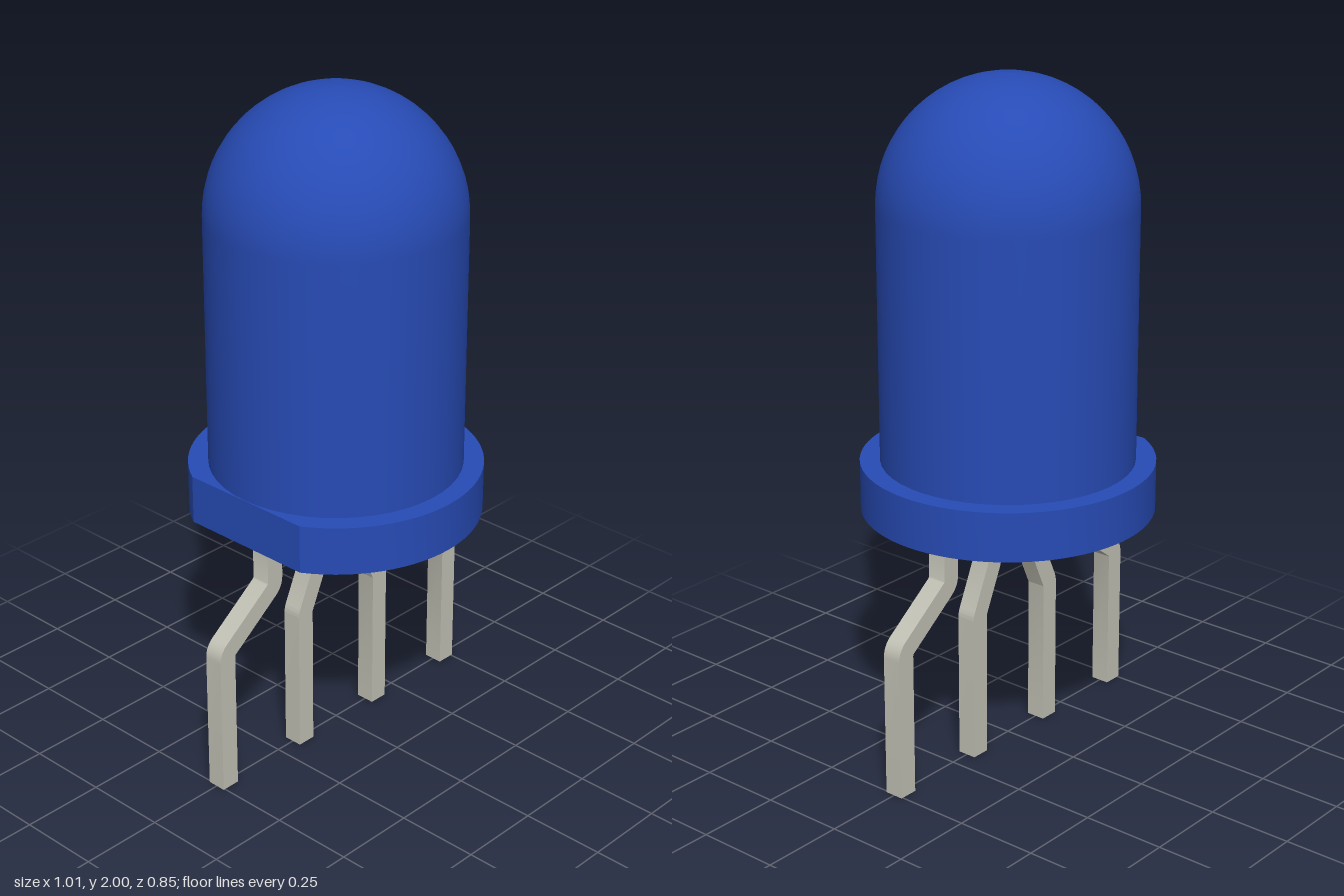
import * as THREE from 'three';
import { toCreasedNormals } from 'three/addons/utils/BufferGeometryUtils.js';

const HALF = 0.029; // half thickness of a lead

// Replaces the corner at b of the path a-b-c by a short arc of radius r
function roundCorner(a, b, c, r, steps = 5) {
  const d1 = a.clone().sub(b).normalize();
  const d2 = c.clone().sub(b).normalize();
  const turn = Math.PI - Math.acos(d1.dot(d2));
  const trim = r * Math.tan(turn / 2);
  const curve = new THREE.QuadraticBezierCurve(
    b.clone().addScaledVector(d1, trim), b, b.clone().addScaledVector(d2, trim));
  return curve.getPoints(steps);
}

// Square bent lead: a centre line thickened in the plane, then extruded in depth
function leadGeometry(topX, footX) {
  const p = [[topX, 0.76], [topX, 0.59], [footX, 0.445], [footX, 0]]
    .map(([x, y]) => new THREE.Vector2(x, y));
  const line = [p[0], ...roundCorner(p[0], p[1], p[2], 0.04),
    ...roundCorner(p[1], p[2], p[3], 0.04), p[3]];
  const left = [], right = [];
  line.forEach((q, i) => {
    const before = line[Math.max(i - 1, 0)];
    const after = line[Math.min(i + 1, line.length - 1)];
    const dir = after.clone().sub(before).normalize();
    if (i < 2 || i > line.length - 3) dir.set(0, -1);
    const n = new THREE.Vector2(-dir.y, dir.x).multiplyScalar(HALF);
    left.push(q.clone().add(n));
    right.unshift(q.clone().sub(n));
  });
  const geo = new THREE.ExtrudeGeometry(new THREE.Shape([...left, ...right]),
    { depth: 2 * HALF, bevelEnabled: false });
  geo.translate(0, 0, -HALF);
  return toCreasedNormals(geo, 0.5);
}

export function createModel() {
  const model = new THREE.Group();
  const blue = new THREE.MeshStandardMaterial({ color: 0x274bb5 });
  blue.name = 'blue plastic';
  const metal = new THREE.MeshStandardMaterial({ color: 0xc2c1b5 });
  metal.name = 'grey metal';

  const add = (name, geo, mat) => {
    const mesh = new THREE.Mesh(geo, mat);
    mesh.name = name;
    model.add(mesh);
  };

  // Domed lens: straight wall with a hemisphere on top
  const R = 0.367;
  const profile = [new THREE.Vector2(R, 0.87), new THREE.Vector2(R, 1.25)];
  for (let i = 0; i <= 16; i++) {
    const a = (i / 16) * Math.PI / 2;
    profile.push(new THREE.Vector2(i === 16 ? 0 : R * Math.cos(a), 2 - R + R * Math.sin(a)));
  }
  add('lens', new THREE.LatheGeometry(profile, 48), blue);

  // Base rim with a flat cut on one side
  const rim = 0.425;
  const cut = Math.acos(-0.369 / rim);
  const outline = new THREE.Shape();
  outline.absarc(0, 0, rim, -cut, cut, false);
  outline.closePath();
  const rimGeo = new THREE.ExtrudeGeometry(outline,
    { depth: 0.145, bevelEnabled: false, curveSegments: 34 });
  rimGeo.rotateX(-Math.PI / 2);
  rimGeo.translate(0, 0.74, 0);
  add('baseRim', toCreasedNormals(rimGeo, 0.4), blue);

  // Four leads, splayed outwards in mirrored pairs
  for (const [side, label] of [[1, 'left'], [-1, 'right']]) {
    add(label + 'OuterLead', leadGeometry(side * 0.283, side * 0.476), metal);
    add(label + 'InnerLead', leadGeometry(side * 0.094, side * 0.159), metal);
  }
  return model;
}
